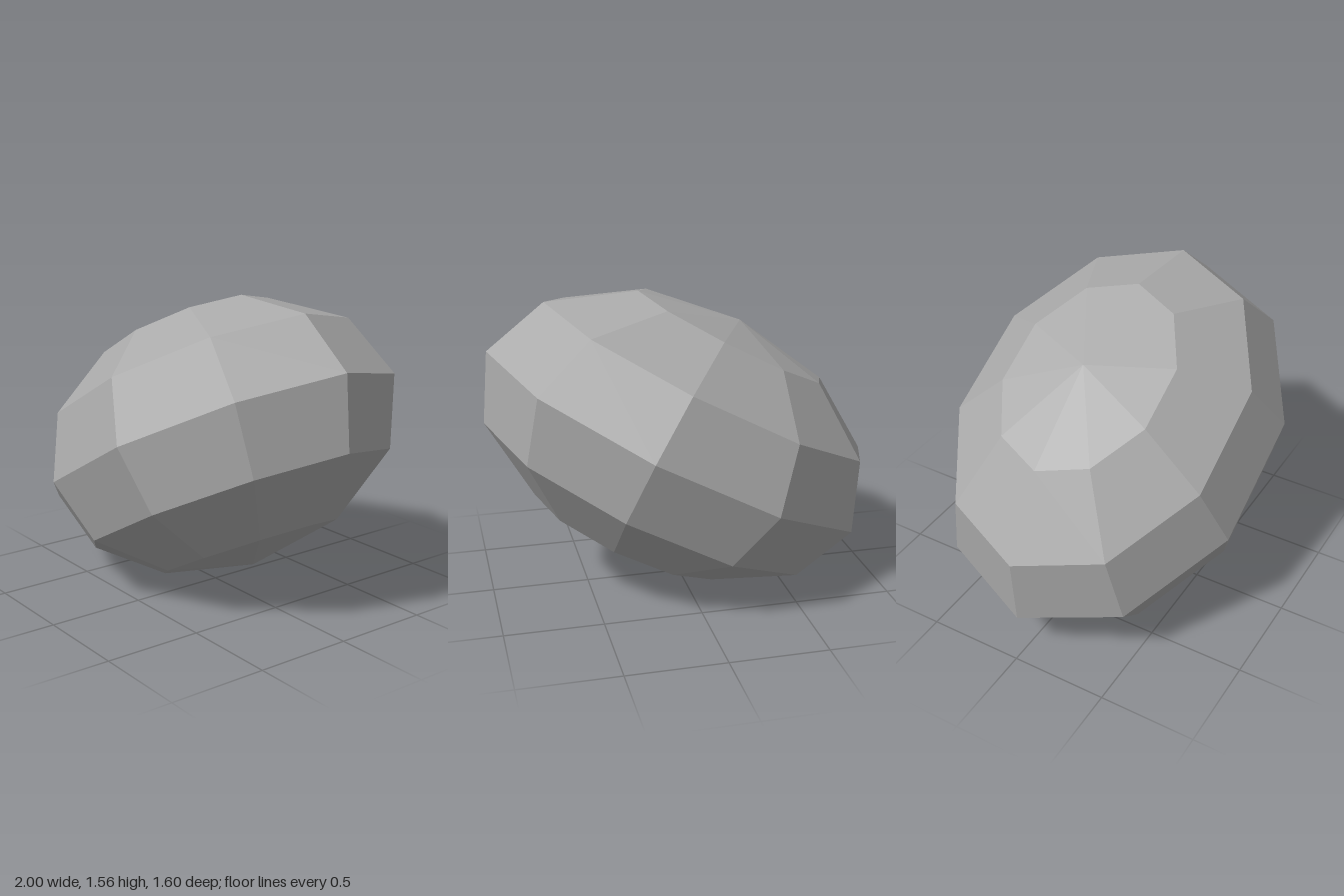
import * as THREE from 'three';

export function createModel() {
  const model = new THREE.Group();
  model.name = 'boulder';

  const stone = new THREE.MeshStandardMaterial({ color: 0xaaaaaa, flatShading: true });
  stone.name = 'stone grey';

  // Faceted ellipsoid: ten sides around, six bands from pole to pole
  const geometry = new THREE.SphereGeometry(1, 10, 6);
  geometry.scale(1.1, 0.68, 0.841);

  // Lean it so the left end is raised, then rest it on the ground
  geometry.rotateZ(THREE.MathUtils.degToRad(28.08));
  geometry.computeBoundingBox();
  geometry.translate(0, -geometry.boundingBox.min.y, 0);

  const rock = new THREE.Mesh(geometry, stone);
  rock.name = 'rock';
  model.add(rock);
  return model;
}
